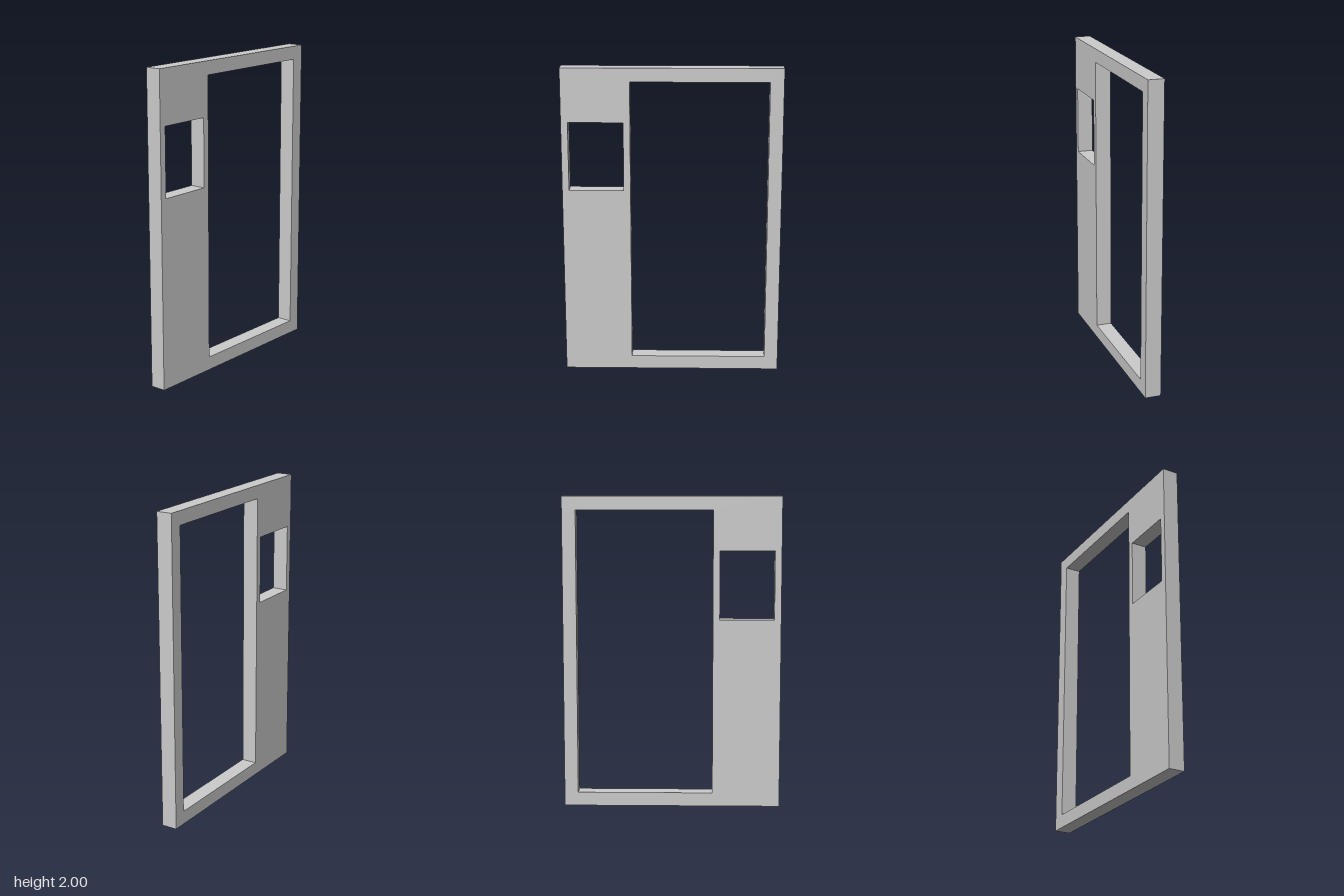
import * as THREE from 'three';

const WIDTH = 1.392, HEIGHT = 2, DEPTH = 0.102;

// Traces a rectangle, given its edges, onto a Shape or Path
function rectangle(path, left, right, bottom, top) {
  path.moveTo(left, bottom);
  path.lineTo(right, bottom);
  path.lineTo(right, top);
  path.lineTo(left, top);
  path.closePath();
  return path;
}

export function createModel() {
  const group = new THREE.Group();
  group.name = 'framePanel';

  // Upright slab with a tall door opening and a small window beside it
  const outline = rectangle(new THREE.Shape(), -WIDTH / 2, WIDTH / 2, 0, HEIGHT);
  const doorOpening = rectangle(new THREE.Path(), -0.262, 0.609, 0.087, 1.913);
  const windowOpening = rectangle(new THREE.Path(), -0.653, -0.305, 1.217, 1.656);
  outline.holes.push(doorOpening, windowOpening);

  const geometry = new THREE.ExtrudeGeometry(outline, { depth: DEPTH, bevelEnabled: false });
  geometry.translate(0, 0, -DEPTH / 2);

  const frame = new THREE.Mesh(geometry, new THREE.MeshStandardMaterial({ color: 0xcccccc }));
  frame.name = 'doorAndWindowFrame';
  group.add(frame);

  return group;
}
